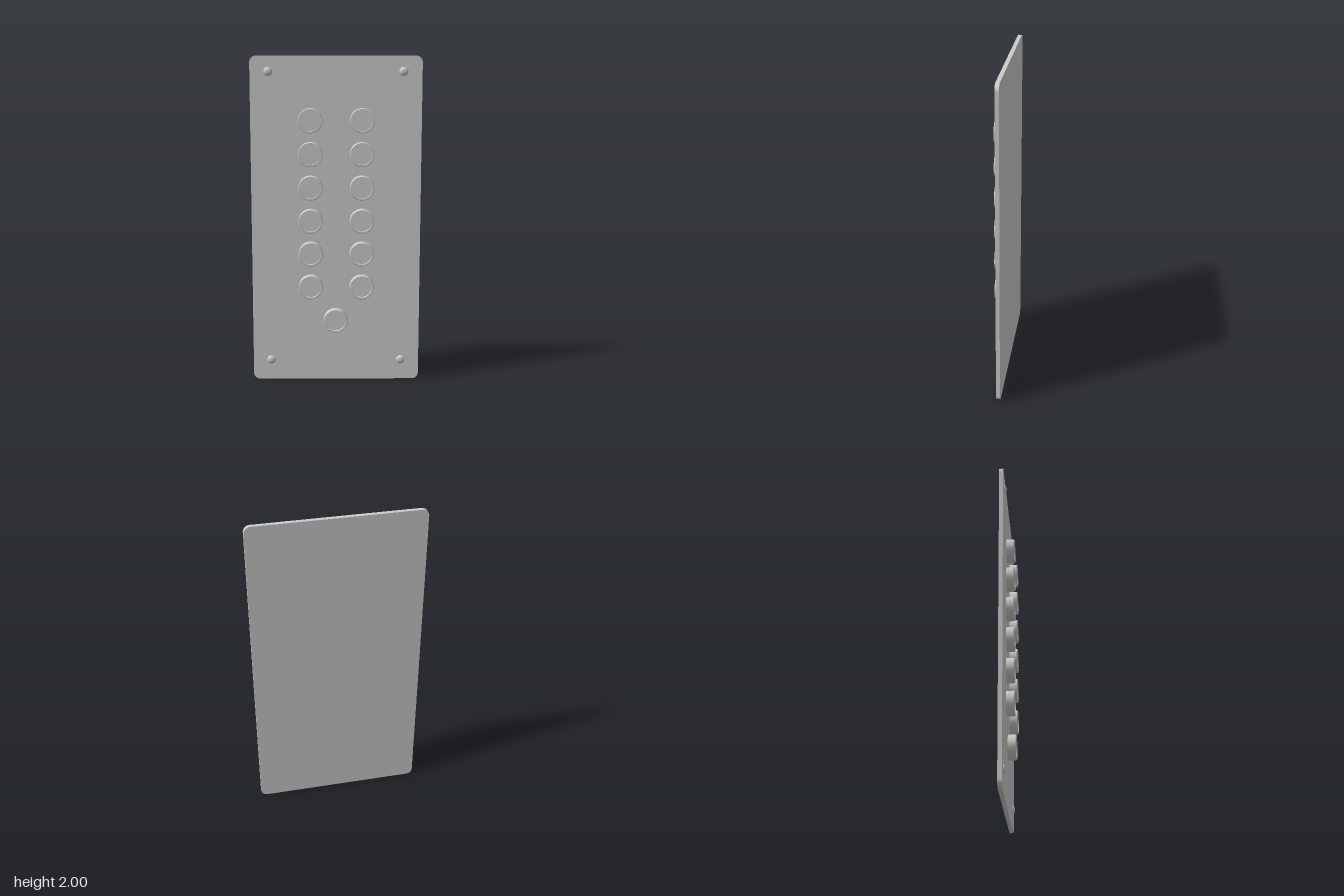
import * as THREE from 'three';

const BACK = -0.037, FACE = -0.013, FRONT = 0.036;

export function createModel() {
  const group = new THREE.Group();
  const material = new THREE.MeshStandardMaterial({ color: 0xcccccc });
  const add = (name, geometry, x = 0, y = 0, z = 0) => {
    const mesh = new THREE.Mesh(geometry, material);
    mesh.name = name;
    mesh.position.set(x, y, z);
    group.add(mesh);
  };

  // Flat panel with rounded corners
  const w = 0.515, h = 2, r = 0.04;
  const outline = new THREE.Shape();
  outline.absarc(w - r, h - r, r, 0, Math.PI / 2);
  outline.absarc(-w + r, h - r, r, Math.PI / 2, Math.PI);
  outline.absarc(-w + r, r, r, Math.PI, Math.PI * 1.5);
  outline.absarc(w - r, r, r, Math.PI * 1.5, Math.PI * 2);
  add('panel', new THREE.ExtrudeGeometry(outline, { depth: FACE - BACK, bevelEnabled: false, curveSegments: 8 }), 0, 0, BACK);

  // Lathe whose axis points forward; each [radius, height] pair list is one smooth band
  const turned = (points, segments) => new THREE.LatheGeometry(
    points.map(([a, b]) => new THREE.Vector2(a, b)), segments).rotateX(Math.PI / 2);

  // Round button: outer wall, raised rim and recessed face
  const top = FRONT - FACE, floor = top - 0.02;
  const bands = {
    buttonWall: turned([[0.074, 0], [0.074, top - 0.004]], 40),
    buttonBevel: turned([[0.074, top - 0.004], [0.071, top]], 40),
    buttonRim: turned([[0.071, top], [0.062, top]], 40),
    buttonInnerWall: turned([[0.062, top], [0.062, floor]], 40),
    buttonFace: turned([[0.062, floor], [0, floor]], 40),
  };
  const addButton = (x, y) => {
    for (const [name, geometry] of Object.entries(bands)) add(name, geometry, x, y, FACE);
  };
  for (const y of [1.617, 1.415, 1.212, 1.008, 0.805, 0.598]) {
    addButton(-0.155, y);
    addButton(0.157, y);
  }
  addButton(-0.003, 0.385);

  // Domed screw heads in the corners
  const dome = [];
  for (let i = 0; i <= 8; i++) {
    const a = (i / 8) * Math.PI / 2;
    dome.push([i === 8 ? 0 : 0.027 * Math.cos(a), 0.015 * Math.sin(a)]);
  }
  const screw = turned(dome, 24);
  for (const x of [-0.405, 0.403]) for (const y of [0.125, 1.907]) add('screwHead', screw, x, y, FACE);

  return group;
}
